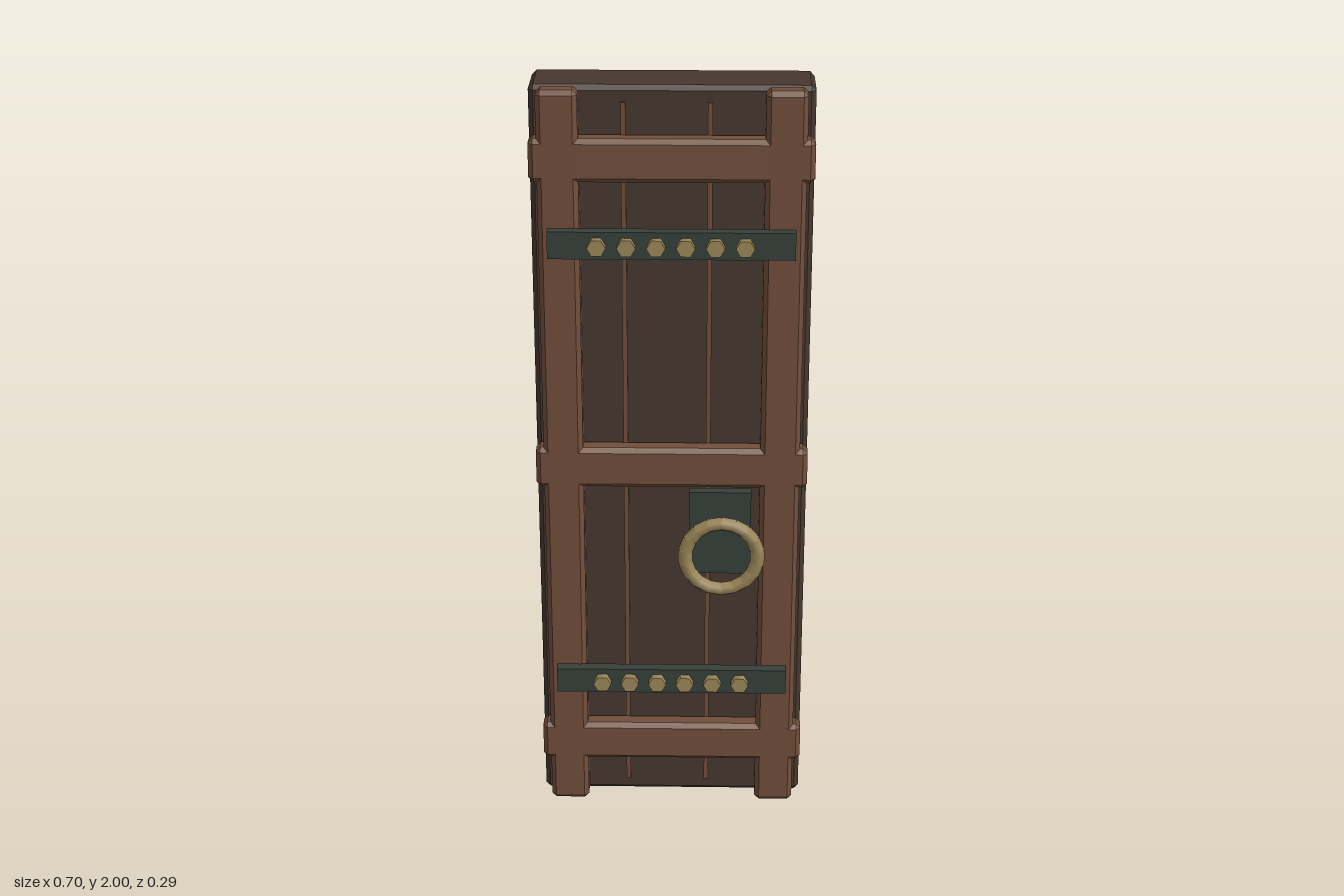
import * as THREE from 'three';
import { ConvexGeometry } from 'three/addons/geometries/ConvexGeometry.js';

const material = (name, color, extra = {}) => new THREE.MeshStandardMaterial({ name, color, ...extra });

// Box given by its min and max corners, with every edge chamfered by c
function chamferBox(min, max, c) {
  const half = min.map((v, i) => (max[i] - v) / 2);
  const mid = min.map((v, i) => (max[i] + v) / 2);
  const points = [];
  for (const sx of [-1, 1]) for (const sy of [-1, 1]) for (const sz of [-1, 1]) {
    const sign = [sx, sy, sz];
    for (let axis = 0; axis < 3; axis++) {
      points.push(new THREE.Vector3(...sign.map((s, i) => mid[i] + s * (half[i] - (i === axis ? 0 : c)))));
    }
  }
  return new ConvexGeometry(points);
}

function plainBox(min, max) {
  const g = new THREE.BoxGeometry(...min.map((v, i) => max[i] - v));
  return g.translate(...min.map((v, i) => (max[i] + v) / 2));
}

export function createModel() {
  const door = new THREE.Group();
  door.name = 'door';
  const darkWood = material('dark wood', 0x46372f);
  const frameWood = material('frame wood', 0x714f3b);
  const iron = material('iron', 0x36403b);
  const brass = material('brass', 0x9c8758, { side: THREE.DoubleSide });

  const add = (name, geometry, mat, parent = door) => {
    const mesh = new THREE.Mesh(geometry, mat);
    mesh.name = name;
    parent.add(mesh);
    return mesh;
  };

  // Thick door slab
  add('slab', chamferBox([-0.35, 0, -0.148], [0.35, 2, 0.012], 0.012), darkWood);

  // Upright stiles and cross rails of the frame
  for (const s of [-1, 1]) {
    const x = s * 0.279;
    add('stile', chamferBox([x - 0.051, 0, 0.006], [x + 0.051, 2, 0.066], 0.012), frameWood);
  }
  for (const y of [0.185, 1.005, 1.825]) {
    add('rail', chamferBox([-0.35, y - 0.055, 0.008], [0.35, y + 0.055, 0.066], 0.012), frameWood);
  }

  // Thin strips between the planks
  for (const x of [-0.119, 0.094]) {
    add('plankStrip', plainBox([x - 0.006, 0.04, 0.008], [x + 0.006, 1.96, 0.02]), frameWood);
  }

  // Iron straps, each with a row of six-sided rivets
  for (const y of [0.393, 1.62]) {
    add('strap', plainBox([-0.306, y - 0.035, 0.064], [0.306, y + 0.035, 0.094]), iron);
    for (let i = 0; i < 6; i++) {
      const rivet = new THREE.CylinderGeometry(0.0235, 0.0235, 0.024, 6, 1, false, Math.PI / 2);
      rivet.rotateX(Math.PI / 2);
      add('rivet', rivet, brass).position.set(-0.184 + i * 0.0732, y, 0.103);
    }
  }

  // Handle plate
  add('handlePlate', plainBox([0.046, 0.72, 0.066], [0.206, 0.953, 0.094]), iron);

  // Ring handle made of short open six-sided sleeves
  const ring = new THREE.Group();
  ring.name = 'ringHandle';
  ring.position.set(0.13, 0.787, 0.129);
  door.add(ring);
  const count = 18;
  for (let i = 0; i < count; i++) {
    const a = (i / count) * Math.PI * 2;
    const sleeve = new THREE.CylinderGeometry(0.0185, 0.0185, 0.038, 6, 1, true, Math.PI / 2);
    const mesh = add('ringSleeve', sleeve, brass, ring);
    mesh.position.set(Math.cos(a) * 0.093, Math.sin(a) * 0.093, 0);
    mesh.rotation.z = a;
  }
  return door;
}
